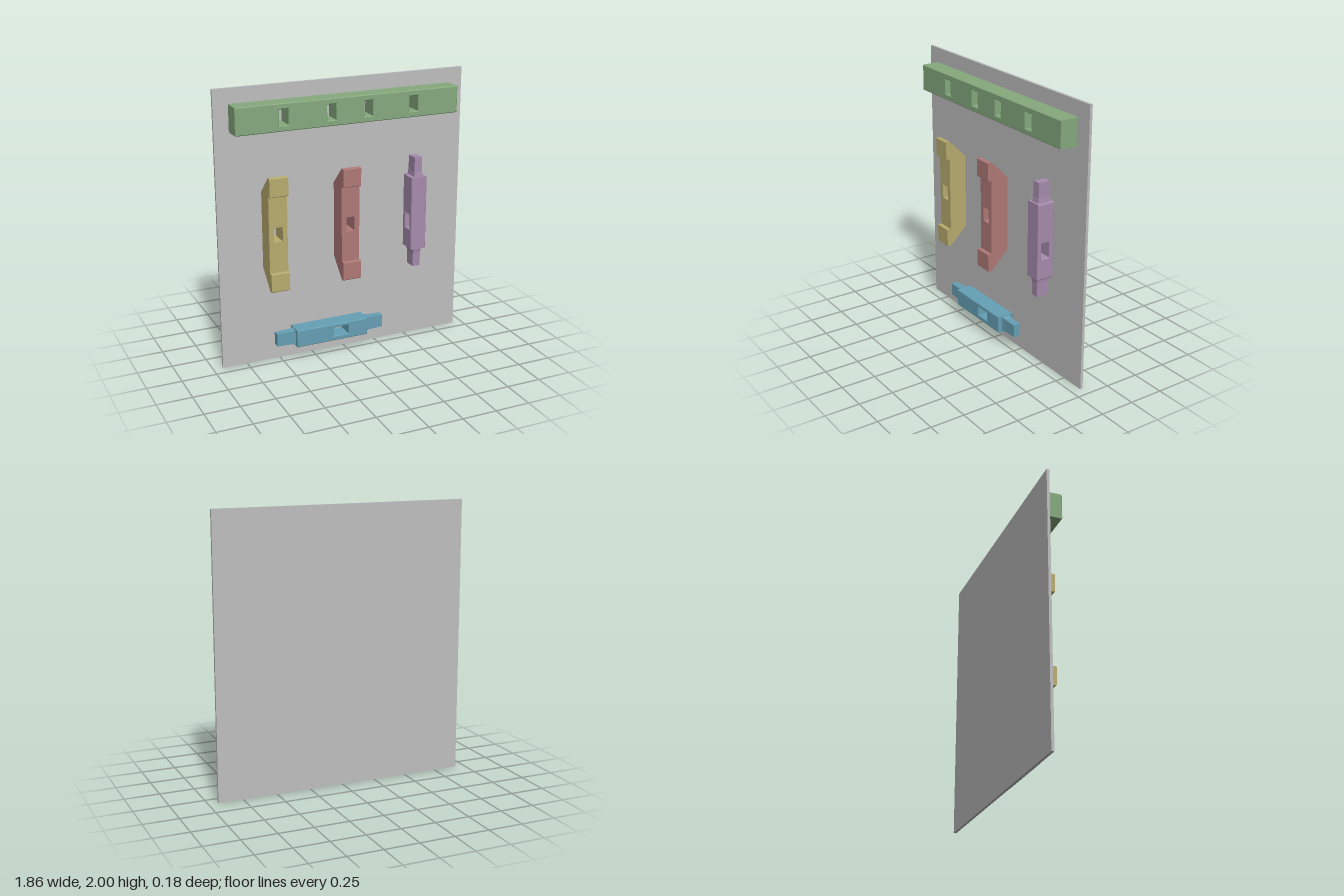
import * as THREE from 'three';

const mat = (name, color) => {
  const m = new THREE.MeshStandardMaterial({ color });
  m.name = name;
  return m;
};

// Rectangle path from its limits
function rect(path, [x0, x1, y0, y1]) {
  path.moveTo(x0, y0);
  path.lineTo(x1, y0);
  path.lineTo(x1, y1);
  path.lineTo(x0, y1);
  path.closePath();
  return path;
}

// Bar with mortise holes cut right through its depth
function mortisedBar(limits, holes, z0, z1, bevel = 0) {
  const shape = rect(new THREE.Shape(), limits);
  holes.forEach(h => shape.holes.push(rect(new THREE.Path(), h)));
  const geo = new THREE.ExtrudeGeometry(shape, {
    depth: z1 - z0 - 2 * bevel, bevelEnabled: bevel > 0, bevelSegments: 1,
    bevelSize: bevel, bevelThickness: bevel, bevelOffset: -bevel
  });
  geo.translate(0, 0, z0 + bevel);
  return geo;
}

// Tenon standing on y = 0: flares at the root, then tapers slightly to the tip
function tenon(w, d, length) {
  const geo = new THREE.BoxGeometry(w, length, d, 1, 4, 1);
  geo.translate(0, length / 2, 0);
  const p = geo.attributes.position;
  for (let i = 0; i < p.count; i++) {
    const t = p.getY(i) / length;
    const s = t < 0.1 ? 1 : 0.9 - 0.06 * t;
    p.setX(i, p.getX(i) * s);
    p.setZ(i, p.getZ(i) * s);
  }
  const flat = geo.toNonIndexed();
  flat.computeVertexNormals();
  return flat;
}

export function createModel() {
  const model = new THREE.Group();
  const panelGrey = mat('panelGrey', 0xbfbfbf);
  const green = mat('green', 0x86aa7e);
  const yellow = mat('yellow', 0xb8ad6f);
  const red = mat('red', 0xb07a78);
  const purple = mat('purple', 0xa68cad);
  const blue = mat('blue', 0x66a0b5);

  const add = (name, geo, material, parent = model) => {
    const mesh = new THREE.Mesh(geo, material);
    mesh.name = name;
    parent.add(mesh);
    return mesh;
  };
  const group = name => {
    const g = new THREE.Group();
    g.name = name;
    model.add(g);
    return g;
  };

  // Back panel
  const panel = add('backPanel', new THREE.BoxGeometry(1.86, 2, 0.02), panelGrey);
  panel.position.set(0, 1, -0.08);

  // Top rail with four mortises
  const slots = [-0.485, -0.14, 0.135, 0.48].map(x => [x - 0.033, x + 0.033, 1.745, 1.855]);
  add('topRail', mortisedBar([-0.825, 0.825, 1.705, 1.895], slots, -0.07, 0.065, 0.005), green);

  // Two posts: mortised shaft with a mitred, raised block at each end
  const postHalf = 0.0675, mid = 0.99;
  const endShape = new THREE.Shape([
    [-0.07, 0.275], [0.09, 0.275], [0.094, 0.279], [0.094, 0.405],
    [0.089, 0.41], [0.065, 0.41]
  ].map(([z, y]) => new THREE.Vector2(-z, y)).reverse());
  const endGeo = new THREE.ExtrudeGeometry(endShape, { depth: 2 * postHalf, bevelEnabled: false });
  endGeo.translate(0, 0, -postHalf);
  endGeo.rotateY(Math.PI / 2); // profile -z axis turned to face the front
  for (const [name, x, m] of [['leftmostPost', -0.5425, yellow], ['middlePost', -0.003, red]]) {
    const post = group(name);
    post.position.set(x, mid, 0);
    add('postShaft', mortisedBar([-postHalf, postHalf, -0.275, 0.275],
      [[-0.032, 0.032, -0.055, 0.05]], -0.07, 0.065), m, post);
    add('upperBlock', endGeo, m, post);
    const lower = add('lowerBlock', endGeo, m, post);
    lower.scale.y = -1;
  }

  // Upright with tenons at both ends and a mortise from side to side
  const upright = group('tenonedUpright');
  const body = mortisedBar([-0.06, 0.07, 0.715, 1.26], [[-0.03, 0.036, 0.865, 0.975]], -0.06, 0.06, 0.005);
  body.rotateY(Math.PI / 2);
  body.translate(0.54, 0, 0);
  // turning maps the profile's +x onto -z
  add('uprightBody', body, purple, upright);
  const uprightTenon = tenon(0.068, 0.105, 0.14);
  add('upperTenon', uprightTenon, purple, upright).position.set(0.54, 1.26, -0.008);
  const lowTenon = add('lowerTenon', uprightTenon, purple, upright);
  lowTenon.position.set(0.54, 0.715, -0.008);
  lowTenon.rotation.z = Math.PI;

  // Bottom rail with tenons at both ends and a mortise from front to back
  const rail = group('tenonedRail');
  add('railBody', mortisedBar([-0.412, 0.138, 0.11, 0.238],
    [[-0.125, -0.013, 0.145, 0.21]], -0.07, 0.055, 0.005), blue, rail);
  const railTenon = tenon(0.11, 0.062, 0.138);
  const rightTenon = add('rightTenon', railTenon, blue, rail);
  rightTenon.position.set(-0.412, 0.176, -0.008);
  rightTenon.rotation.z = Math.PI / 2;
  const leftTenon = add('leftTenon', railTenon, blue, rail);
  leftTenon.position.set(0.138, 0.176, -0.008);
  leftTenon.rotation.z = -Math.PI / 2;

  return model;
}
